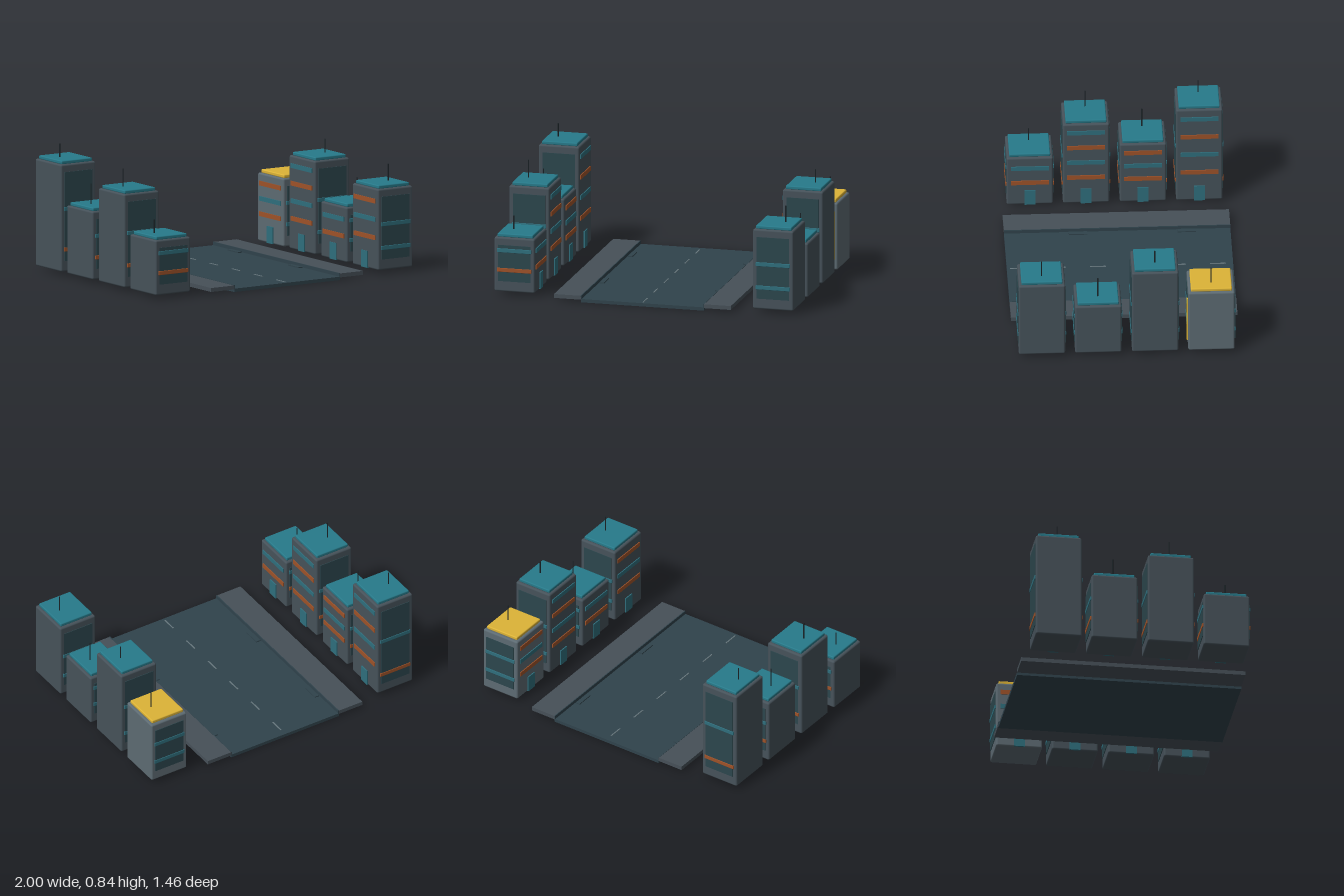
import * as THREE from 'three';
import { RoundedBoxGeometry } from 'three/addons/geometries/RoundedBoxGeometry.js';

const mat = (color) => new THREE.MeshStandardMaterial({ color });
const M = {
  wall: mat(0x46525a), paleWall: mat(0x5d6b73), glass: mat(0x2c464d), teal: mat(0x2f6f7d),
  roof: mat(0x277a8a), yellow: mat(0xddb437), orange: mat(0x9e5229), dark: mat(0x1c2428),
  road: mat(0x30434c), paving: mat(0x465058), paint: mat(0x66777d),
};

function add(parent, name, geometry, material, x, y, z) {
  const mesh = new THREE.Mesh(geometry, material);
  mesh.name = name;
  mesh.position.set(x, y, z);
  parent.add(mesh);
  return mesh;
}
const box = (w, h, d) => new THREE.BoxGeometry(w, h, d);
const rounded = (w, h, d, r) => new RoundedBoxGeometry(w, h, d, 2, r);

const BASE = 0.03, W = 0.27, D = 0.3;

// One tower; side is -1 or 1, and its entrance faces the road at x = 0
function building({ side, z, top, mast, rows, faceRows, pale }) {
  const g = new THREE.Group();
  g.name = 'building';
  g.position.set(side * 0.863, 0, z);
  const h = top - BASE;
  add(g, 'walls', rounded(W, h, D, 0.012), pale ? M.paleWall : M.wall, 0, BASE + h / 2, 0);
  add(g, 'roofSlab', rounded(0.238, 0.024, 0.265, 0.007), pale ? M.yellow : M.roof, 0, top + 0.01, 0);
  const mastHeight = mast - top;
  add(g, 'antenna', new THREE.CylinderGeometry(0.004, 0.004, mastHeight, 8), M.dark,
    side * 0.045, top + mastHeight / 2, 0);

  // Glazed panels with bands on the front and back
  const panelHeight = top - 0.05 - 0.1;
  for (const s of [-1, 1]) {
    add(g, 'windowPanel', box(0.215, panelHeight, 0.008), M.glass, 0, 0.1 + panelHeight / 2, s * D / 2);
    for (const [y, color] of faceRows)
      add(g, 'faceBand', rounded(0.228, 0.027, 0.014, 0.003), M[color], 0, y, s * D / 2);
  }

  // Alternating bands and a door on the road side
  const inner = -side * W / 2;
  const [first, step, count] = rows;
  for (let i = 0; i < count; i++)
    add(g, 'sideBand', box(0.012, 0.03, 0.245), i % 2 ? M.teal : M.orange, inner, first + i * step, 0);
  add(g, 'door', box(0.014, 0.11, 0.07), M.teal, inner, BASE + 0.057, 0);
  if (pale) add(g, 'signStrip', box(0.015, 0.32, 0.012), M.yellow, 0.11, 0.26, D / 2 + 0.003);
  return g;
}

export function createModel() {
  const model = new THREE.Group();
  model.name = 'cityStreet';

  // Road with centre dashes
  add(model, 'road', box(0.82, 0.022, 1.46), M.road, 0, 0.014, -0.003);
  for (let i = 0; i < 6; i++)
    add(model, 'laneDash', box(0.008, 0.004, 0.1), M.paint, 0, 0.026, -0.635 + i * 0.258);

  // Pavements, kerbs and drains
  for (const s of [-1, 1]) {
    add(model, 'pavement', box(0.18, 0.026, 1.46), M.paving, s * 0.5, 0.033, -0.003);
    add(model, 'kerb', box(0.006, 0.028, 1.46), M.road, s * 0.409, 0.034, -0.003);
    for (const z of [0.25, -0.45])
      add(model, 'drain', box(0.03, 0.012, 0.12), M.dark, s * 0.385, 0.026, z).material = M.road;
  }

  // Two rows of towers
  const towers = [
    { side: -1, z: 0.545, top: 0.39, mast: 0.5, rows: [0.2, 0.11, 2], faceRows: [[0.175, 'orange'], [0.305, 'teal']] },
    { side: -1, z: 0.182, top: 0.64, mast: 0.78, rows: [0.231, 0.115, 4], faceRows: [[0.175, 'orange'], [0.385, 'teal']] },
    { side: -1, z: -0.185, top: 0.475, mast: 0.63, rows: [0.21, 0.1, 3], faceRows: [[0.175, 'orange'], [0.315, 'teal']] },
    { side: -1, z: -0.548, top: 0.73, mast: 0.84, rows: [0.249, 0.137, 4], faceRows: [[0.175, 'orange'], [0.44, 'teal']] },
    { side: 1, z: 0.545, top: 0.56, mast: 0.69, rows: [0.24, 0.12, 3], faceRows: [[0.175, 'teal'], [0.33, 'teal']] },
    { side: 1, z: 0.182, top: 0.39, mast: 0.55, rows: [0.2, 0.11, 2], faceRows: [[0.175, 'teal'], [0.305, 'teal']] },
    { side: 1, z: -0.185, top: 0.64, mast: 0.75, rows: [0.231, 0.115, 4], faceRows: [[0.175, 'teal'], [0.385, 'teal']] },
    { side: 1, z: -0.548, top: 0.475, mast: 0.61, rows: [0.21, 0.1, 3], faceRows: [[0.175, 'teal'], [0.315, 'teal']], pale: true },
  ];
  for (const t of towers) model.add(building(t));
  return model;
}
